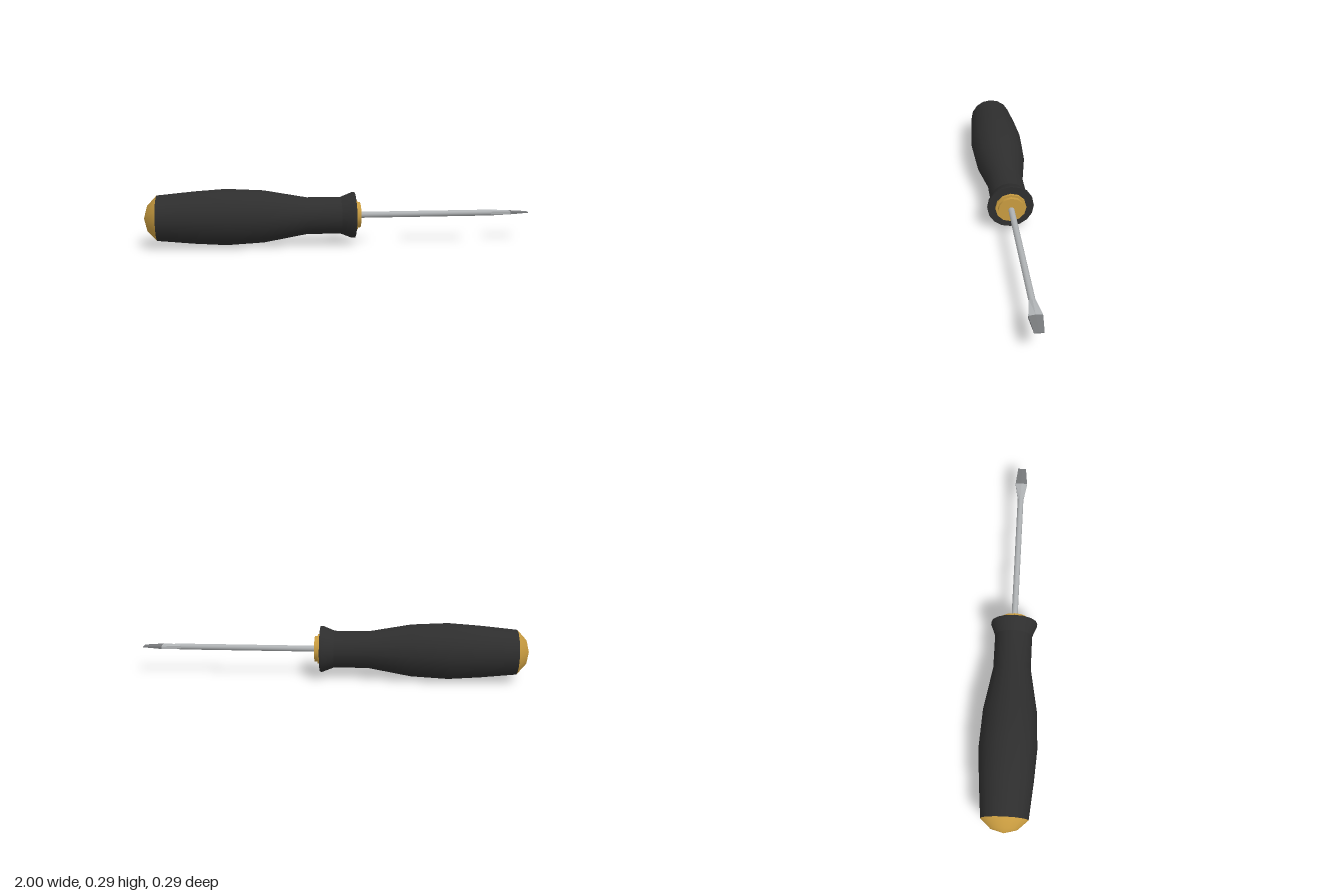
import * as THREE from 'three';

const AXIS_Y = 0.147;

// Turned part along the x axis from [x, radius] points
function turned(name, points, sides, material) {
  const geo = new THREE.LatheGeometry(points.map(([x, r]) => new THREE.Vector2(r, x)), sides);
  geo.rotateZ(-Math.PI / 2);
  const mesh = new THREE.Mesh(geo, material);
  mesh.name = name;
  return mesh;
}

// Six-sided section: pointed ridge above and below, upright sides
const section = ([x, ridge, halfWidth, corner]) => [
  [x, ridge, 0], [x, corner, halfWidth], [x, -corner, halfWidth],
  [x, -ridge, 0], [x, -corner, -halfWidth], [x, corner, -halfWidth],
];

// Flat-faced loft between two sections, with an optional end face
function loft(name, from, to, capEnd, material) {
  const a = section(from), b = section(to), pos = [];
  for (let i = 0; i < 6; i++) {
    const j = (i + 1) % 6;
    pos.push(...a[i], ...a[j], ...b[i], ...a[j], ...b[j], ...b[i]);
    if (capEnd) pos.push(to[0], 0, 0, ...b[i], ...b[j]);
  }
  const geo = new THREE.BufferGeometry();
  geo.setAttribute('position', new THREE.Float32BufferAttribute(pos, 3));
  // Wind every triangle so that it faces outwards
  const p = geo.attributes.position;
  const [v0, v1, v2] = [new THREE.Vector3(), new THREE.Vector3(), new THREE.Vector3()];
  const centre = new THREE.Vector3((from[0] + to[0]) / 2, 0, 0);
  for (let i = 0; i < p.count; i += 3) {
    [v0, v1, v2].forEach((v, k) => v.fromBufferAttribute(p, i + k));
    const n = v1.clone().sub(v0).cross(v2.clone().sub(v0));
    if (n.dot(v0.clone().add(v1).add(v2).divideScalar(3).sub(centre)) < 0) {
      p.setXYZ(i + 1, v2.x, v2.y, v2.z);
      p.setXYZ(i + 2, v1.x, v1.y, v1.z);
    }
  }
  geo.computeVertexNormals();
  const mesh = new THREE.Mesh(geo, material);
  mesh.name = name;
  return mesh;
}

export function createModel() {
  const mat = (name, color) => {
    const m = new THREE.MeshStandardMaterial({ color });
    m.name = name;
    return m;
  };
  const rubber = mat('black rubber', 0x2e2e2e);
  const gold = mat('amber plastic', 0xc99c40);
  const steel = mat('steel', 0xb0b3b5);
  const darkSteel = mat('dark steel', 0x77797b);

  const tool = new THREE.Group();
  tool.name = 'screwdriver';
  tool.position.y = AXIS_Y;

  // Handle
  tool.add(
    turned('endCap', [[-1, 0], [-0.982, 0.065], [-0.935, 0.116]], 16, gold),
    turned('grip', [[-0.935, 0.116], [-0.75, 0.134], [-0.59, 0.145], [-0.4, 0.135],
      [-0.18, 0.096], [-0.005, 0.096]], 16, rubber),
    turned('gripFlare', [[-0.005, 0.096], [0.055, 0.12], [0.068, 0.12]], 16, rubber),
    turned('gripFace', [[0.068, 0.12], [0.068, 0]], 16, rubber),
  );

  // Stepped collar
  for (const [x0, x1, r] of [[0.06, 0.081, 0.08], [0.08, 0.097, 0.068]]) {
    tool.add(
      turned('collarSide', [[x0, r], [x1, r]], 12, gold),
      turned('collarFace', [[x1, r], [x1, 0]], 12, gold),
    );
  }

  // Shaft and flat blade
  tool.add(
    turned('shaft', [[0.09, 0.016], [0.805, 0.016]], 12, steel),
    loft('bladeNeck', [0.8, 0.016, 0.015, 0.008], [0.9, 0.011, 0.032, 0.007], false, steel),
    loft('bladeTip', [0.9, 0.011, 0.032, 0.007], [1, 0.003, 0.022, 0.002], true, darkSteel),
  );

  const model = new THREE.Group();
  model.name = 'model';
  model.add(tool);
  return model;
}
